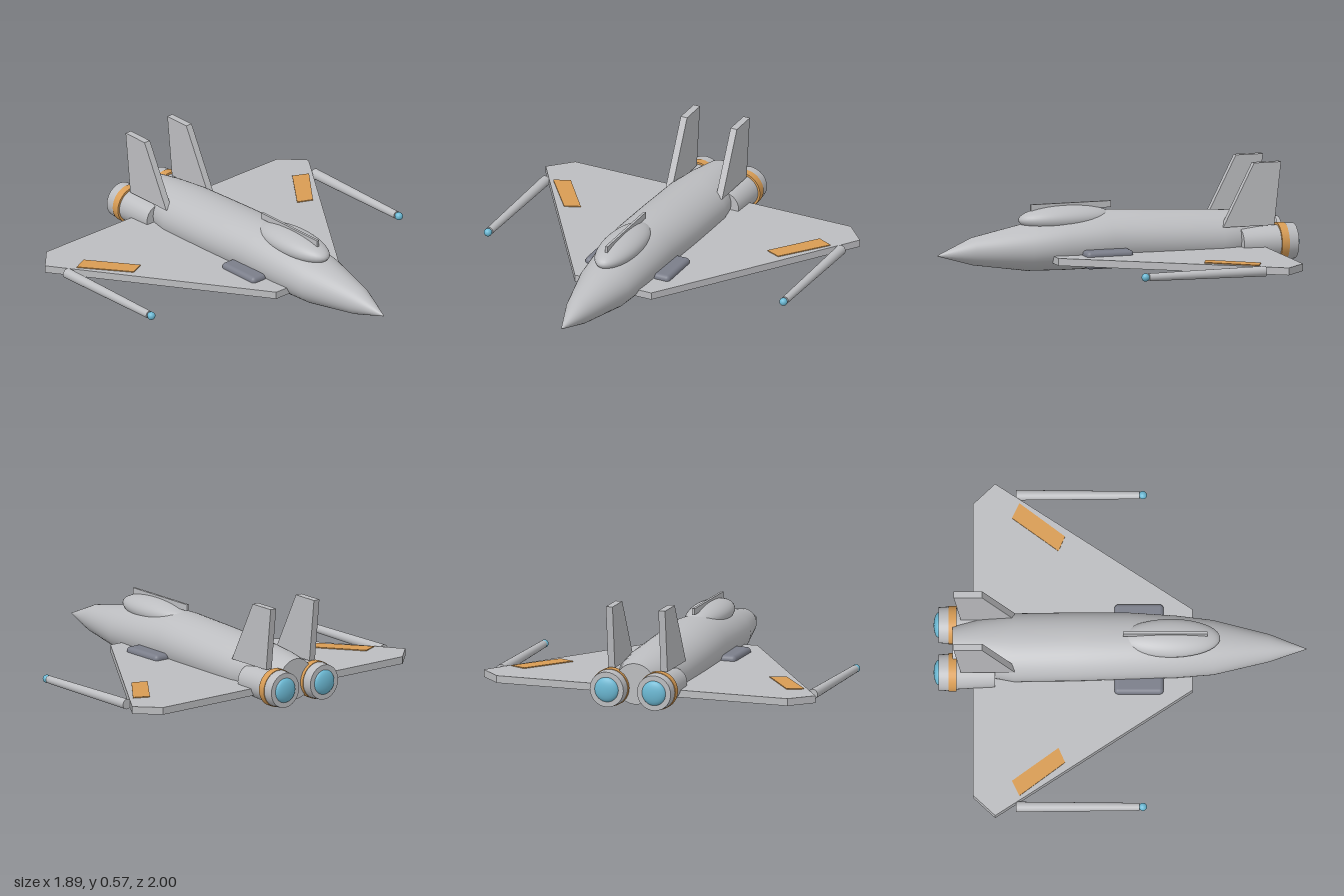
import * as THREE from 'three';
import { RoundedBoxGeometry } from 'three/addons/geometries/RoundedBoxGeometry.js';

const mat = (name, color) => {
  const m = new THREE.MeshStandardMaterial({ color });
  m.name = name;
  return m;
};

// Smooth loft through elliptical sections [z, centreY, radiusX, radiusY], front to back
function loft(sections, sides) {
  const pos = [], index = [];
  sections.forEach(([z, cy, rx, ry], r) => {
    for (let i = 0; i < sides; i++) {
      const a = (i / sides) * Math.PI * 2;
      pos.push(rx * Math.cos(a), cy + ry * Math.sin(a), z);
      if (r === sections.length - 1) continue;
      const p = r * sides + i, q = r * sides + (i + 1) % sides;
      index.push(p, p + sides, q, q, p + sides, q + sides);
    }
  });
  const g = new THREE.BufferGeometry();
  g.setAttribute('position', new THREE.Float32BufferAttribute(pos, 3));
  g.setIndex(index);
  g.computeVertexNormals();
  return g;
}

// Straight-sided plate from 2D points
function plate(points, depth) {
  const shape = new THREE.Shape(points.map(([x, y]) => new THREE.Vector2(x, y)));
  return new THREE.ExtrudeGeometry(shape, { depth, bevelEnabled: false });
}

// Flat plate from [x, z] points, lying between y and y + thickness
const flatPlate = (points, y, thickness) =>
  plate(points.map(([x, z]) => [x, -z]), thickness).rotateX(-Math.PI / 2).translate(0, y, 0);

// Cylinder along z
const tube = (rFront, rBack, zFront, zBack, sides = 32) =>
  new THREE.CylinderGeometry(rFront, rBack, zFront - zBack, sides)
    .rotateX(Math.PI / 2).translate(0, 0, (zFront + zBack) / 2);

export function createModel() {
  const hull = mat('hull grey', 0xbcbdc0);
  const dark = mat('intake grey', 0x7b7e8a);
  const orange = mat('orange trim', 0xd89c54);
  const blue = mat('blue glow', 0x6cb9d4);

  const model = new THREE.Group();
  model.name = 'fighter';
  const add = (name, geometry, material, x = 0, y = 0, z = 0, parent = model) => {
    const m = new THREE.Mesh(geometry, material);
    m.name = name;
    m.position.set(x, y, z);
    parent.add(m);
    return m;
  };

  // Fuselage with closed tail
  add('fuselage', loft([
    [1, 0.13, 0.002, 0.002], [0.8, 0.145, 0.075, 0.075], [0.5, 0.153, 0.15, 0.127],
    [0.3, 0.166, 0.17, 0.145], [0.05, 0.178, 0.182, 0.157], [-0.25, 0.166, 0.188, 0.154],
    [-0.57, 0.152, 0.188, 0.152], [-0.75, 0.158, 0.155, 0.133], [-0.9, 0.16, 0.112, 0.112],
  ], 48), hull);
  add('tailCap', new THREE.CircleGeometry(0.112, 48).rotateY(Math.PI), hull, 0, 0.16, -0.9);

  // Canopy and its spine
  add('canopy', new THREE.SphereGeometry(1, 40, 24).scale(0.107, 0.07, 0.265), hull, 0, 0.3, 0.273);
  add('canopySpine', new THREE.BoxGeometry(0.014, 0.035, 0.455), hull, 0, 0.365, 0.243);

  // Delta wing in one piece
  const half = [[0.23, 0.39], [0.947, -0.67], [0.83, -0.79]];
  add('wing', flatPlate([...half, ...half.map(([x, z]) => [-x, z]).reverse()], 0.08, 0.04), hull);

  for (const s of [1, -1]) {
    const side = s > 0 ? 'left' : 'right';

    // Painted wing panels, top and bottom
    const panel = [[0.75, -0.58], [0.835, -0.54], [0.645, -0.295], [0.562, -0.33]].map(([x, z]) => [s * x, z]);
    add(side + 'WingPanelTop', flatPlate(panel, 0.119, 0.006), orange);
    add(side + 'WingPanelBottom', flatPlate(panel, 0.075, 0.006), orange);

    // Tail fin
    add(side + 'TailFin', plate([[0.565, 0.23], [0.855, 0.23], [0.893, 0.572], [0.74, 0.572]], 0.038)
      .rotateY(Math.PI / 2).translate(-0.019, 0, 0), hull, s * 0.15);

    // Side intake
    add(side + 'Intake', new RoundedBoxGeometry(0.1, 0.096, 0.264, 4, 0.022), dark, s * 0.205, 0.1, 0.102);

    // Engine: nacelle, ring, nozzle and glowing exhaust
    const engine = new THREE.Group();
    engine.name = side + 'Engine';
    engine.position.set(s * 0.135, 0.135, 0);
    model.add(engine);
    add('nacelle', tube(0.08, 0.092, -0.67, -0.89), hull, 0, 0, 0, engine);
    add('engineRing', tube(0.103, 0.103, -0.878, -0.92), orange, 0, 0, 0, engine);
    add('nozzle', tube(0.1, 0.096, -0.92, -0.975), hull, 0, 0, 0, engine);
    add('exhaustGlow', new THREE.SphereGeometry(1, 32, 16).scale(0.068, 0.068, 0.027), blue, 0, 0, -0.973, engine);

    // Wingtip cannon
    add(side + 'Cannon', tube(0.021, 0.028, 0.105, -0.557, 24), hull, s * 0.89, 0.1);
    add(side + 'CannonTip', new THREE.SphereGeometry(0.022, 20, 14), blue, s * 0.89, 0.1, 0.123);
  }
  return model;
}
